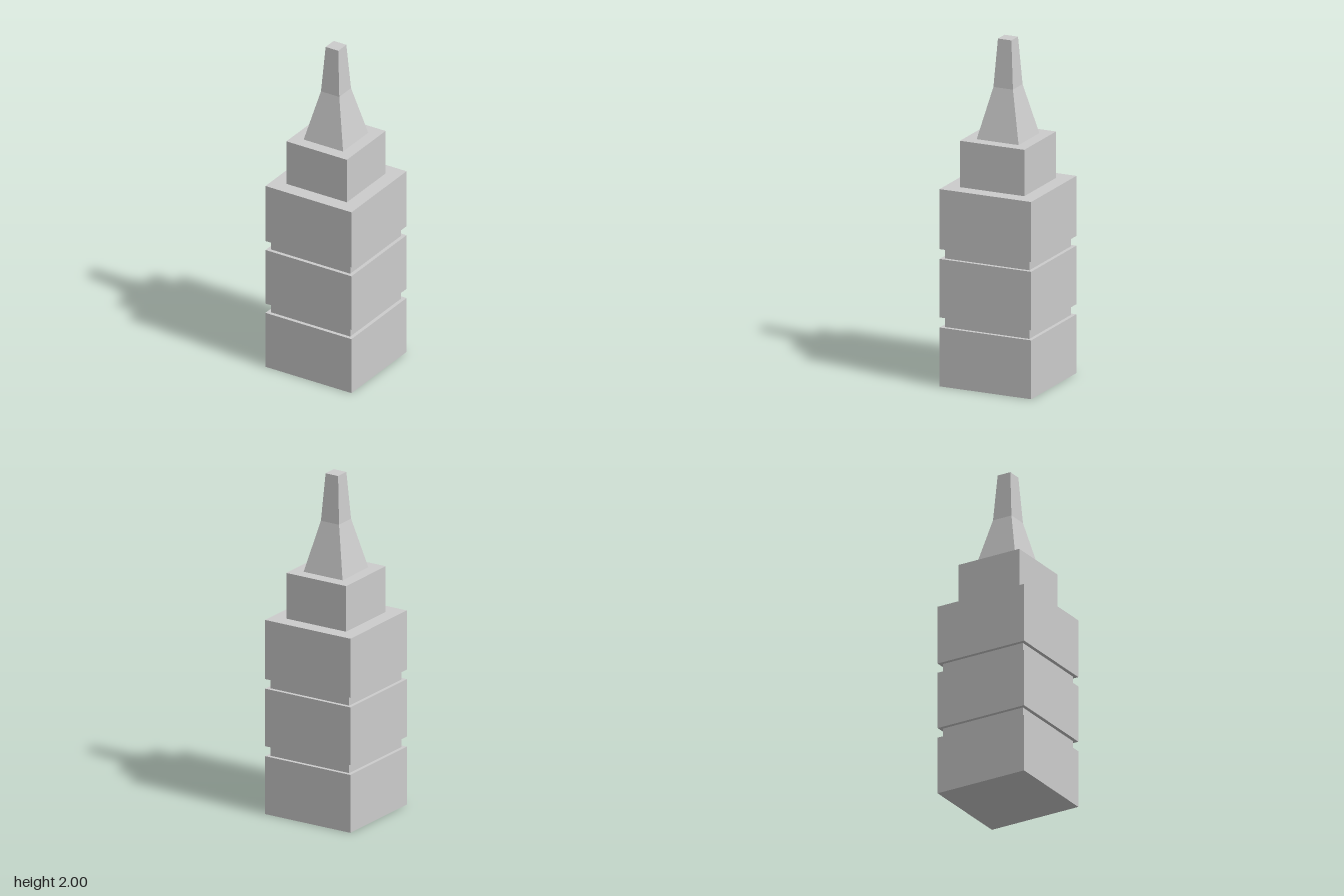
import * as THREE from 'three';

export function createModel() {
  const model = new THREE.Group();
  model.name = 'tower';
  const stone = new THREE.MeshStandardMaterial({ color: 0xcccccc, flatShading: true });
  stone.name = 'light grey stone';

  // Square tier from y0 to y1, given by its half widths at the bottom and top
  function addTier(name, y0, y1, bottom, top = bottom, open = false) {
    const geometry = new THREE.CylinderGeometry(
      top * Math.SQRT2, bottom * Math.SQRT2, y1 - y0, 4, 1, open);
    geometry.rotateY(Math.PI / 4);
    geometry.translate(0, (y0 + y1) / 2, 0);
    const mesh = new THREE.Mesh(geometry, stone);
    mesh.name = name;
    model.add(mesh);
  }

  // Three main blocks separated by recessed necks
  addTier('lowerBlock', 0, 0.344, 0.286);
  addTier('lowerNeck', 0.344, 0.403, 0.264);
  addTier('middleBlock', 0.403, 0.745, 0.286);
  addTier('upperNeck', 0.745, 0.802, 0.264);
  addTier('upperBlock', 0.802, 1.153, 0.286);

  // Narrower top storey
  addTier('topStorey', 1.153, 1.424, 0.201);

  // Spire with a flared foot and a blunt tip
  addTier('spireFoot', 1.424, 1.72, 0.131, 0.061, true);
  addTier('spireTip', 1.72, 2, 0.061, 0.042);

  return model;
}
